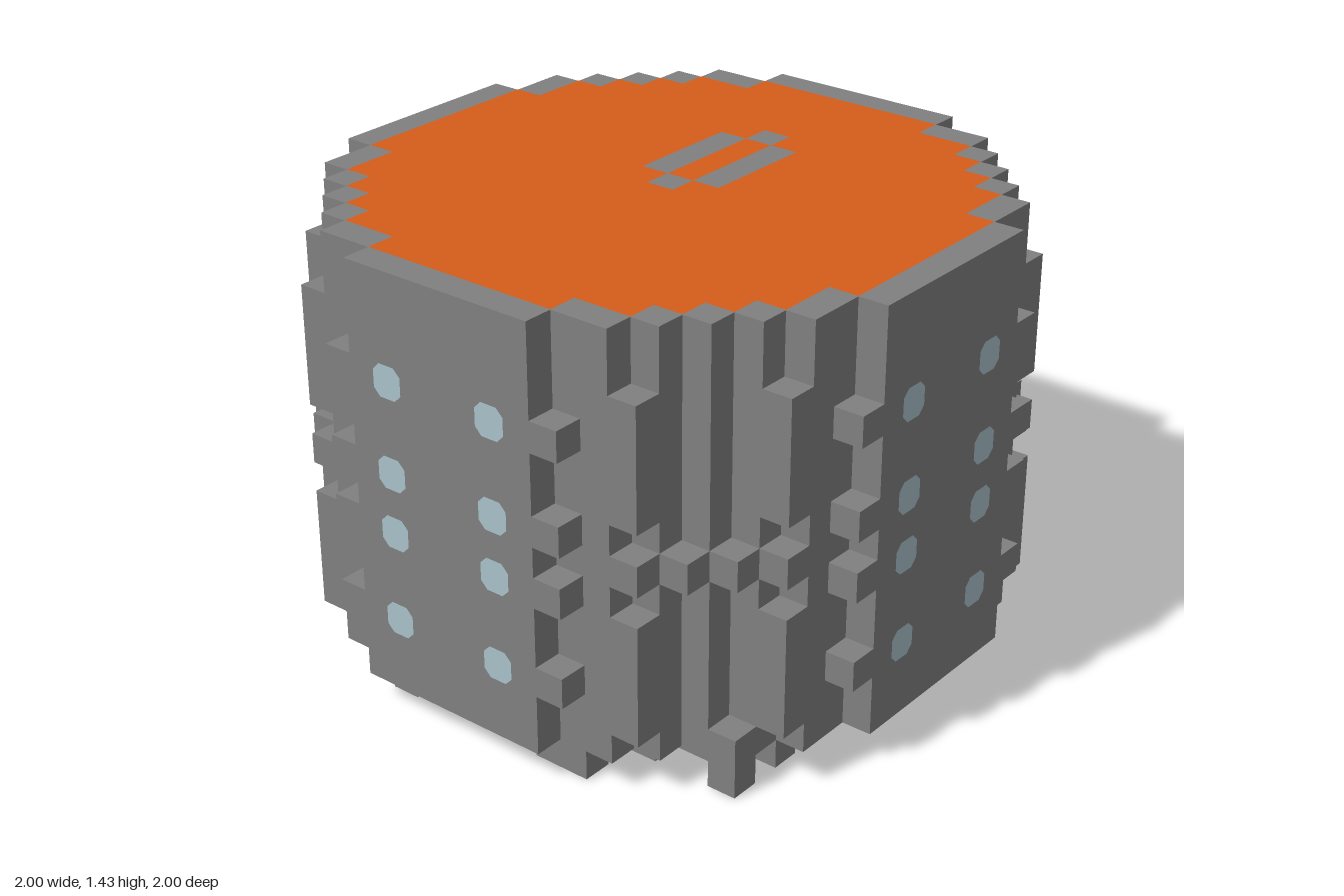
import * as THREE from 'three';

const U = 2 / 21; // one block

const mat = (name, color) => {
  const m = new THREE.MeshStandardMaterial({ color });
  m.name = name;
  return m;
};

export function createModel() {
  const grey = mat('stone grey', 0x808080);
  const orange = mat('roof orange', 0xd55d1a);
  const glass = mat('pale glass', 0xa9c2ca);
  const navy = mat('dark interior', 0x1b1924);
  const model = new THREE.Group();
  model.name = 'blockTower';

  const add = (name, geo, material, parent = model) => {
    const m = new THREE.Mesh(geo, material);
    m.name = name;
    parent.add(m);
    return m;
  };
  // Box spanning whole blocks: x0..x1, y0..y1, z0..z1 inclusive, x and z counted from the centre
  const blocks = (name, x0, x1, y0, y1, z0, z1, material = grey, parent = model) => {
    const m = add(name, new THREE.BoxGeometry((x1 - x0 + 1) * U, (y1 - y0 + 1) * U, (z1 - z0 + 1) * U), material, parent);
    m.position.set((x0 + x1) / 2 * U, (y0 + y1 + 1) / 2 * U, (z0 + z1) / 2 * U);
    return m;
  };

  // Stepped round plan: widths[j] is the last filled block in row j
  const plan = (widths) => {
    const side = [];
    for (let z = -9; z <= 9; z++) {
      const w = (widths[Math.abs(z)] + 0.5) * U;
      side.push([w, (z - 0.5) * U], [w, (z + 0.5) * U]);
    }
    const pts = [...side, ...side.slice().reverse().map(([x, z]) => [-x, z])];
    return new THREE.Shape(pts.map(([x, z]) => new THREE.Vector2(x, z)));
  };
  const bodyRows = [9, 9, 9, 9, 9, 9, 8, 7, 6, 5];
  const roofRows = [9, 9, 9, 9, 8, 8, 7, 6, 5, 3];
  const bodyGeo = new THREE.ExtrudeGeometry(plan(bodyRows), { depth: 14 * U, bevelEnabled: false });
  add('body', bodyGeo.rotateX(-Math.PI / 2), grey).position.y = U;
  const roofGeo = new THREE.ShapeGeometry(plan(roofRows));
  add('roof', roofGeo.rotateX(-Math.PI / 2), orange).position.y = 15 * U + 0.001;

  // Ring of grey tiles set in the roof
  const tiles = [[0, -5, -5], [-1, -4, -1], [1, -4, -1], [0, 0, 0]];
  for (const [x, z0, z1] of tiles) {
    const geo = new THREE.PlaneGeometry(U, (z1 - z0 + 1) * U).rotateX(-Math.PI / 2);
    add('roofTile', geo, grey).position.set(x * U, 15 * U + 0.002, (z0 + z1) / 2 * U);
  }

  // Window pane with cut corners
  const s = 0.051, c = 0.028;
  const corners = [[-c, -s], [c, -s], [s, -c], [s, c], [c, s], [-c, s], [-s, c], [-s, -c]];
  const paneGeo = new THREE.ShapeGeometry(new THREE.Shape(corners.map(([x, y]) => new THREE.Vector2(x, y))));

  // Four sides, each drawn facing +z and turned into place; the last has a doorway
  for (let k = 0; k < 4; k++) {
    const hasDoor = k === 3;
    const side = new THREE.Group();
    side.name = hasDoor ? 'doorSide' : 'side';
    side.rotation.y = k * Math.PI / 2;
    model.add(side);

    const wall = new THREE.Shape();
    wall.moveTo(-3.5 * U, U);
    wall.lineTo(3.5 * U, U);
    wall.lineTo(3.5 * U, 15 * U);
    wall.lineTo(-3.5 * U, 15 * U);
    if (hasDoor) {
      const door = new THREE.Path();
      door.moveTo(-1.5 * U, 2 * U);
      door.lineTo(-1.5 * U, 5 * U);
      door.lineTo(1.5 * U, 5 * U);
      door.lineTo(1.5 * U, 2 * U);
      wall.holes.push(door);
      blocks('doorwayGap', -1, 1, 3, 3, 9, 9, navy, side).position.z += 0.003;
      blocks('doorStep', -1, 0, 2, 2, 10, 10, grey, side).scale.set(0.5, 1, 0.98);
    }
    const wallGeo = new THREE.ExtrudeGeometry(wall, { depth: U, bevelEnabled: false });
    add('wallPanel', wallGeo, grey, side).position.z = 9.5 * U;

    for (const dir of [-1, 1]) {
      for (const y of [3, 6, 8, 11]) {
        blocks('panelTooth', 4 * dir, 4 * dir, y, y, 10, 10, grey, side);
        if (hasDoor && y < 8) continue;
        add('window', paneGeo, glass, side).position.set(2 * dir * U, (y + 0.5) * U, 10.5 * U + 0.0015);
      }
      // Notched pilaster and the belt block beside it
      for (const [y0, y1] of [[2, 5], [7, 7], [9, 12]])
        blocks('pilaster', 6 * dir, 6 * dir, y0, y1, 9, 9, grey, side);
      blocks('beltBlock', 7 * dir, 7 * dir, 7, 7, 8, 8, grey, side);
    }
  }

  // Broken underside: one ragged mass hanging below the body, set in from its rim
  const jag = [0, 1, 1, -1, 0, 2, 0, -1, 1];
  for (let z = -6; z <= 7; z++) {
    const w = bodyRows[Math.abs(z)] - 1;
    const cut = jag[(z + 9) % 9];
    const x0 = -w + Math.max(0, cut);
    const x1 = Math.min(w - Math.max(0, -cut), z + 2 + cut);
    if (x1 >= x0) blocks('undersideRow', x0, x1, 0, 0, z, z);
  }
  // Loose lumps: x0, x1, z0, z1
  const lumps = [[-3, -3, 9, 9], [3, 4, 9, 9], [0, 2, 8, 8], [9, 9, 0, 0], [3, 3, -9, -9], [3, 4, -8, -7],
    [6, 7, -6, -6], [4, 4, -5, -4], [-1, 0, -8, -8], [-7, -6, -7, -7]];
  for (const [x0, x1, z0, z1] of lumps) blocks('undersideLump', x0, x1, 0, 0, z0, z1);
  blocks('cornerLump', 8, 8, 0, 1, 7, 7);

  // Dark gaps in the underside: x0, x1, z0, z1, level
  const gaps = [[6, 6, -1, 0, 1], [7, 7, -4, -1, 1], [8, 8, -4, -4, 1], [7, 7, -5, -5, 1], [5, 6, -5, -5, 1],
    [1, 1, -6, -5, 1], [2, 2, -7, -6, 1], [-1, 0, -7, -7, 1], [-3, -1, -6, -6, 1], [-5, -3, -7, -7, 1],
    [6, 8, 3, 3, 1], [7, 7, 4, 4, 1], [-5, -5, 8, 8, 1], [5, 6, 7, 7, 0],
    [-6, -5, -4, -4, 0], [-5, -4, -5, -5, 0], [-6, -6, 1, 2, 0], [-7, -7, 2, 4, 0], [-6, -6, 4, 4, 0],
    [-8, -8, 3, 4, 0], [-5, -5, 4, 5, 0], [-6, -6, 6, 6, 0], [-5, -4, 7, 7, 0], [-4, -4, 6, 6, 0]];
  for (const [x0, x1, z0, z1, level] of gaps) {
    const geo = new THREE.PlaneGeometry((x1 - x0 + 1) * U, (z1 - z0 + 1) * U).rotateX(Math.PI / 2);
    add('undersideGap', geo, navy).position.set((x0 + x1) / 2 * U, level * U - 0.0015, (z0 + z1) / 2 * U);
  }
  // Dark gap low on the wall beside the doorway
  blocks('wallGap', -9, -9, 1, 1, -4, -4, navy).position.x -= 0.003;

  return model;
}
